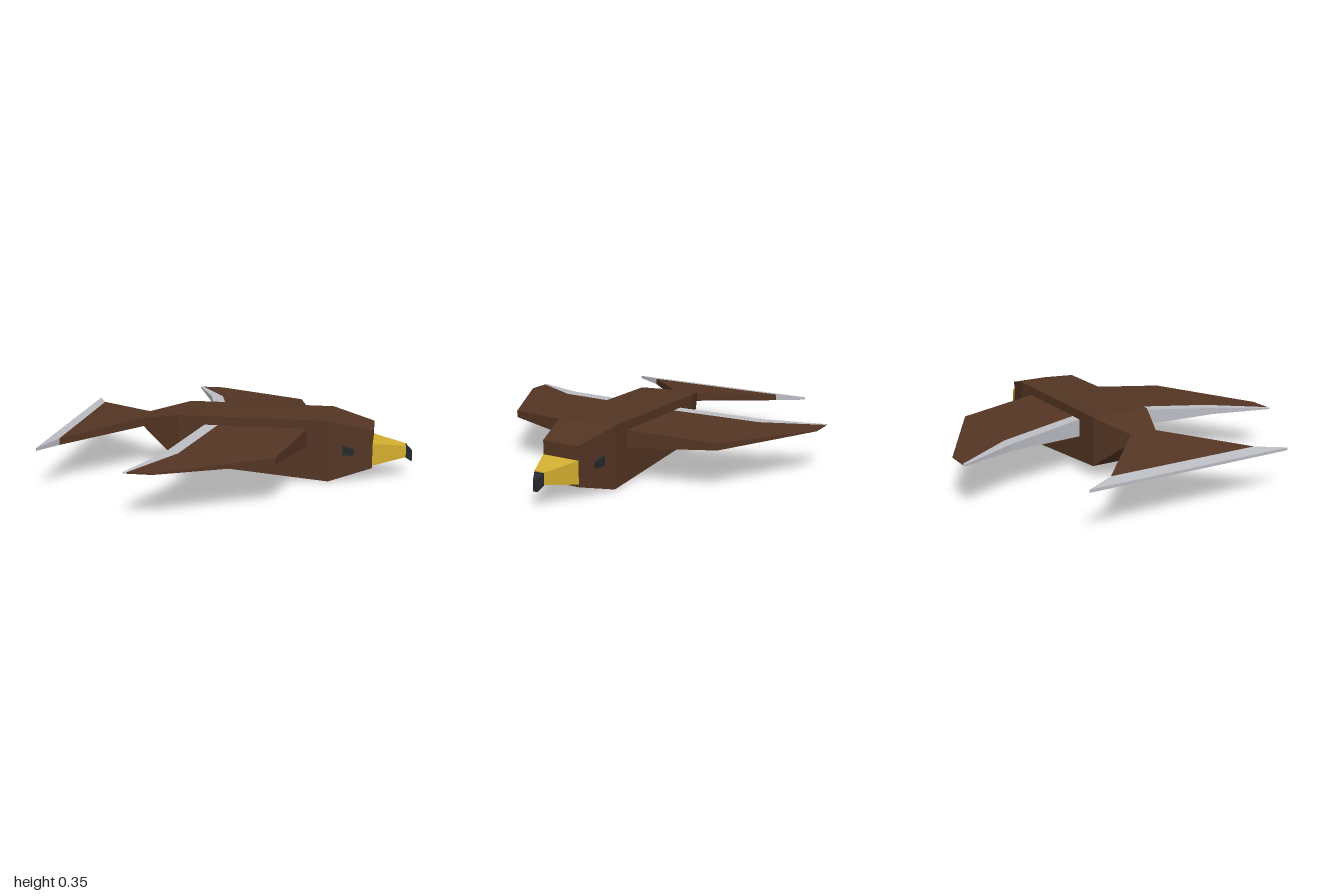
import * as THREE from 'three';

const mat = (name, color) => {
  const m = new THREE.MeshStandardMaterial({ color });
  m.name = name;
  return m;
};

// Loft through four-cornered sections, with flat faces and closed ends
function loft(sections) {
  const tris = [];
  const quad = (a, b, c, d) => tris.push([a, b, c], [a, c, d]);
  for (let i = 0; i < sections.length - 1; i++) {
    const s = sections[i], t = sections[i + 1];
    for (let j = 0; j < 4; j++) {
      const k = (j + 1) % 4;
      quad(s[j], s[k], t[k], t[j]);
    }
  }
  const first = sections[0], last = sections[sections.length - 1];
  quad(first[3], first[2], first[1], first[0]);
  quad(...last);
  // Signed volume tells whether the corners face outward
  let volume = 0;
  for (const [a, b, c] of tris) volume += a.dot(b.clone().cross(c));
  const points = tris.flatMap(([a, b, c]) => (volume < 0 ? [a, c, b] : [a, b, c]));
  const g = new THREE.BufferGeometry().setFromPoints(points);
  g.computeVertexNormals();
  return g;
}

const v = (x, y, z) => new THREE.Vector3(x, y, z);
// Section across the body at x, from y0 to y1 and z0 to z1
const across = (x, y0, y1, z0, z1) => [v(x, y0, z0), v(x, y0, z1), v(x, y1, z1), v(x, y1, z0)];
const centred = ([x, y0, y1, h]) => across(x, y0, y1, -h, h);
// Section along a wing at z, from x0 to x1 and y0 to y1
const chord = (z, x0, x1, y0, y1) => [v(x0, y0, z), v(x1, y0, z), v(x1, y1, z), v(x0, y1, z)];

export function createModel() {
  const model = new THREE.Group();
  model.name = 'bird';

  const brown = mat('brown feathers', 0x543523);
  const pale = mat('pale feather edge', 0xbcbec4);
  const yellow = mat('yellow beak', 0xd4af30);
  const black = mat('black', 0x24272b);

  const add = (name, sections, material) => {
    const mesh = new THREE.Mesh(loft(sections), material);
    mesh.name = name;
    model.add(mesh);
  };

  // Body and head: x, bottom, top, half width
  add('body', [
    [-0.54, 0.25, 0.30, 0.08],
    [-0.31, 0.07, 0.35, 0.175],
    [0.54, 0.0, 0.35, 0.175],
    [0.78, 0.07, 0.29, 0.11],
  ].map(centred), brown);

  // Beak and its hooked tip
  add('beak', [[0.78, 0.085, 0.213, 0.112], [0.965, 0.12, 0.185, 0.03]].map(centred), yellow);
  add('beakTip', [[0.962, 0.12, 0.186, 0.031], [1.0, 0.09, 0.15, 0.013]].map(centred), black);

  // Tail fan with a pale end
  add('tail', [[-0.54, 0.25, 0.30, 0.08], [-0.925, 0.22, 0.257, 0.44]].map(centred), brown);
  add('tailEdge', [[-0.925, 0.22, 0.257, 0.44], [-1.0, 0.229, 0.245, 0.605]].map(centred), pale);

  // Wing stations: z, trailing edge, feather line, leading edge, bottom, top
  const stations = [
    [0.17, -0.16, -0.085, 0.42, 0.20, 0.30],
    [0.66, -0.28, -0.205, 0.303, 0.232, 0.27],
    [0.98, -0.415, -0.395, -0.265, 0.249, 0.256],
  ];
  for (const [side, s] of [['left', -1], ['right', 1]]) {
    add(side + 'Wing', stations.map(([z, , m, f, y0, y1]) => chord(s * z, m, f, y0, y1)), brown);
    add(side + 'WingEdge', stations.map(([z, b, m, , y0, y1]) => chord(s * z, b, m, y0, y1)), pale);
    // Eye lying along the slanted cheek
    add(side + 'Eye', [
      across(0.617, 0.152, 0.207, s * 0.148, s * 0.167),
      across(0.675, 0.15, 0.185, s * 0.133, s * 0.152),
    ], black);
  }
  return model;
}
